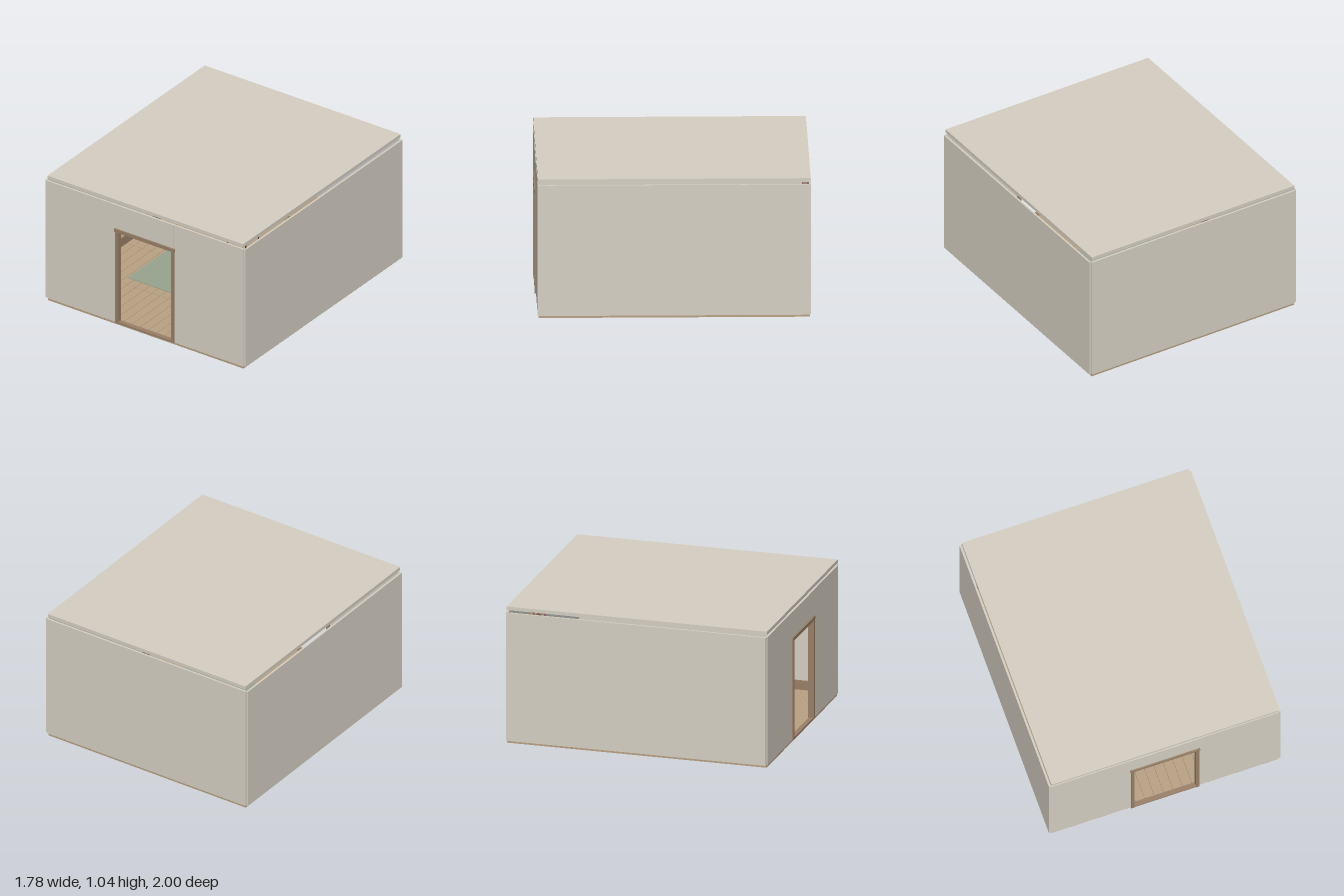
import * as THREE from 'three';
import { RoundedBoxGeometry } from 'three/addons/geometries/RoundedBoxGeometry.js';

const mat = (color) => new THREE.MeshStandardMaterial({ color });
const wallMat = mat(0xd6d0c3), plaster = mat(0xfafafa), floorMat = mat(0xb9a284), frameMat = mat(0x9a8068);
const windowMat = mat(0xb08a76), deskMat = mat(0xb59a7c), drawerMat = mat(0xc2ae88);
const green = mat(0x98a58e), dark = mat(0x3e3d3a), mugMat = mat(0xa97f6c);

function add(parent, name, geometry, material, x = 0, y = 0, z = 0) {
  const mesh = new THREE.Mesh(geometry, material);
  mesh.name = name;
  mesh.position.set(x, y, z);
  parent.add(mesh);
  return mesh;
}

// Box given by its limits on each axis; r rounds the edges
function block(parent, name, material, [x0, x1], [y0, y1], [z0, z1], r = 0) {
  const s = [x1 - x0, y1 - y0, z1 - z0];
  const g = r ? new RoundedBoxGeometry(...s, 2, r) : new THREE.BoxGeometry(...s);
  return add(parent, name, g, material, (x0 + x1) / 2, (y0 + y1) / 2, (z0 + z1) / 2);
}

function part(parent, name) {
  const g = new THREE.Group();
  g.name = name;
  parent.add(g);
  return g;
}

function buildShell(root) {
  const shell = part(root, 'shell');
  const h = [0.02, 1];
  for (const s of [-1, 1]) {
    const span = (a, b) => (s > 0 ? [a, b] : [-b, -a]);
    block(shell, 'sideWall', wallMat, span(0.875, 0.89), h, [-0.99, 0.98]);
    block(shell, 'frontWall', wallMat, span(0.255, 0.875), h, [0.972, 0.987]);
    block(shell, 'sideBaseboard', frameMat, span(0.863, 0.875), [0.02, 0.09], [-0.985, 0.972]);
    block(shell, 'frontBaseboard', frameMat, span(0.265, 0.863), [0.02, 0.09], [0.96, 0.972]);
  }
  block(shell, 'doorHeader', wallMat, [-0.255, 0.255], [0.8, 1], [0.972, 0.989]);
  block(shell, 'backWall', wallMat, [-0.875, 0.875], h, [-1, -0.988]);
  block(shell, 'backWallLining', plaster, [-0.875, 0.875], h, [-0.988, -0.984]);
  block(shell, 'backBaseboard', frameMat, [-0.863, 0.863], [0.02, 0.09], [-0.984, -0.972]);
  block(shell, 'roof', wallMat, [-0.872, 0.872], [1.015, 1.042], [-0.995, 0.985]);
}

// Narrow boards running front to back in four rows
function buildFloor(root) {
  const floor = part(root, 'floor');
  const n = 24, w = 1.744 / n, rows = 4, len = 1.975 / rows;
  block(floor, 'subfloor', frameMat, [-0.87, 0.87], [0.003, 0.016], [-0.99, 0.98]);
  const plank = new THREE.BoxGeometry(w - 0.003, 0.02, len - 0.003);
  for (let i = 0; i < n; i++)
    for (let j = 0; j < rows; j++)
      add(floor, 'floorboard', plank, floorMat, -0.872 + (i + 0.5) * w, 0.01, -0.993 + (j + 0.5) * len);
  block(floor, 'rug', green, [-0.56, 0.56], [0.02, 0.025], [-0.41, 0.41]);
}

function buildDoorFrame(root) {
  const frame = part(root, 'doorFrame');
  block(frame, 'leftJamb', frameMat, [0.237, 0.262], [0.02, 0.78], [0.955, 0.998]);
  block(frame, 'rightJamb', frameMat, [-0.262, -0.237], [0.02, 0.78], [0.955, 0.998]);
  block(frame, 'lintel', frameMat, [-0.268, 0.268], [0.778, 0.805], [0.955, 1]);
  block(frame, 'threshold', frameMat, [-0.237, 0.237], [0.018, 0.032], [0.96, 0.995]);
}

// Four-pane frame on the back wall
function buildWindow(root) {
  const rect = (p, x, y, w, h) => p.moveTo(x, y).lineTo(x + w, y).lineTo(x + w, y + h).lineTo(x, y + h).closePath();
  const shape = rect(new THREE.Shape(), -0.16, 0, 0.32, 0.41);
  for (const x of [-0.12, 0.02])
    for (const y of [0.055, 0.25])
      shape.holes.push(rect(new THREE.Path(), x, y, 0.1, y < 0.1 ? 0.155 : 0.12));
  const g = new THREE.ExtrudeGeometry(shape, { depth: 0.025, bevelEnabled: false });
  add(root, 'windowFrame', g, windowMat, -0.18, 0.54, -0.984);
}

function buildDesk(root) {
  const desk = part(root, 'desk');
  desk.position.set(-0.18, 0, -0.8);
  block(desk, 'deskTop', deskMat, [-0.34, 0.34], [0.268, 0.293], [-0.17, 0.17], 0.01);
  block(desk, 'deskApron', deskMat, [-0.3, 0.3], [0.215, 0.268], [-0.14, 0.14]);
  for (const s of [-1, 1]) {
    block(desk, 'drawerFront', drawerMat, [s * 0.148 - 0.142, s * 0.148 + 0.142], [0.22, 0.262], [0.14, 0.148]);
    add(desk, 'drawerKnob', new THREE.SphereGeometry(0.009, 12, 8), dark, s * 0.155, 0.24, 0.154);
    for (const z of [-0.125, 0.125])
      add(desk, 'deskLeg', new THREE.BoxGeometry(0.024, 0.2, 0.024), deskMat, s * 0.288, 0.12, z);
  }
  // Mug with its handle to one side
  const mug = part(desk, 'mug');
  mug.position.set(0.205, 0.293, 0);
  const profile = [[0, 0], [0.026, 0], [0.026, 0.068], [0.022, 0.068], [0.022, 0.006], [0, 0.006]];
  add(mug, 'mugBody', new THREE.LatheGeometry(profile.map((p) => new THREE.Vector2(...p)), 20), mugMat);
  const handle = add(mug, 'mugHandle', new THREE.TorusGeometry(0.021, 0.005, 8, 16, Math.PI), mugMat, 0.026, 0.034, 0);
  handle.rotation.z = -Math.PI / 2;
}

function buildChair(root) {
  const chair = part(root, 'chair');
  chair.position.set(-0.18, 0, -0.5);
  block(chair, 'chairSeat', green, [-0.095, 0.095], [0.155, 0.177], [-0.095, 0.095], 0.009);
  block(chair, 'seatFrame', dark, [-0.088, 0.088], [0.148, 0.156], [-0.088, 0.088]);
  block(chair, 'chairBack', green, [-0.097, 0.097], [0.17, 0.335], [0.08, 0.1], 0.009);
  for (const x of [-0.08, 0.08])
    for (const z of [-0.08, 0.08])
      add(chair, 'chairLeg', new THREE.CylinderGeometry(0.005, 0.005, 0.13, 10), dark, x, 0.085, z);
}

export function createModel() {
  const root = new THREE.Group();
  root.name = 'room';
  for (const build of [buildShell, buildFloor, buildDoorFrame, buildWindow, buildDesk, buildChair]) build(root);
  return root;
}
